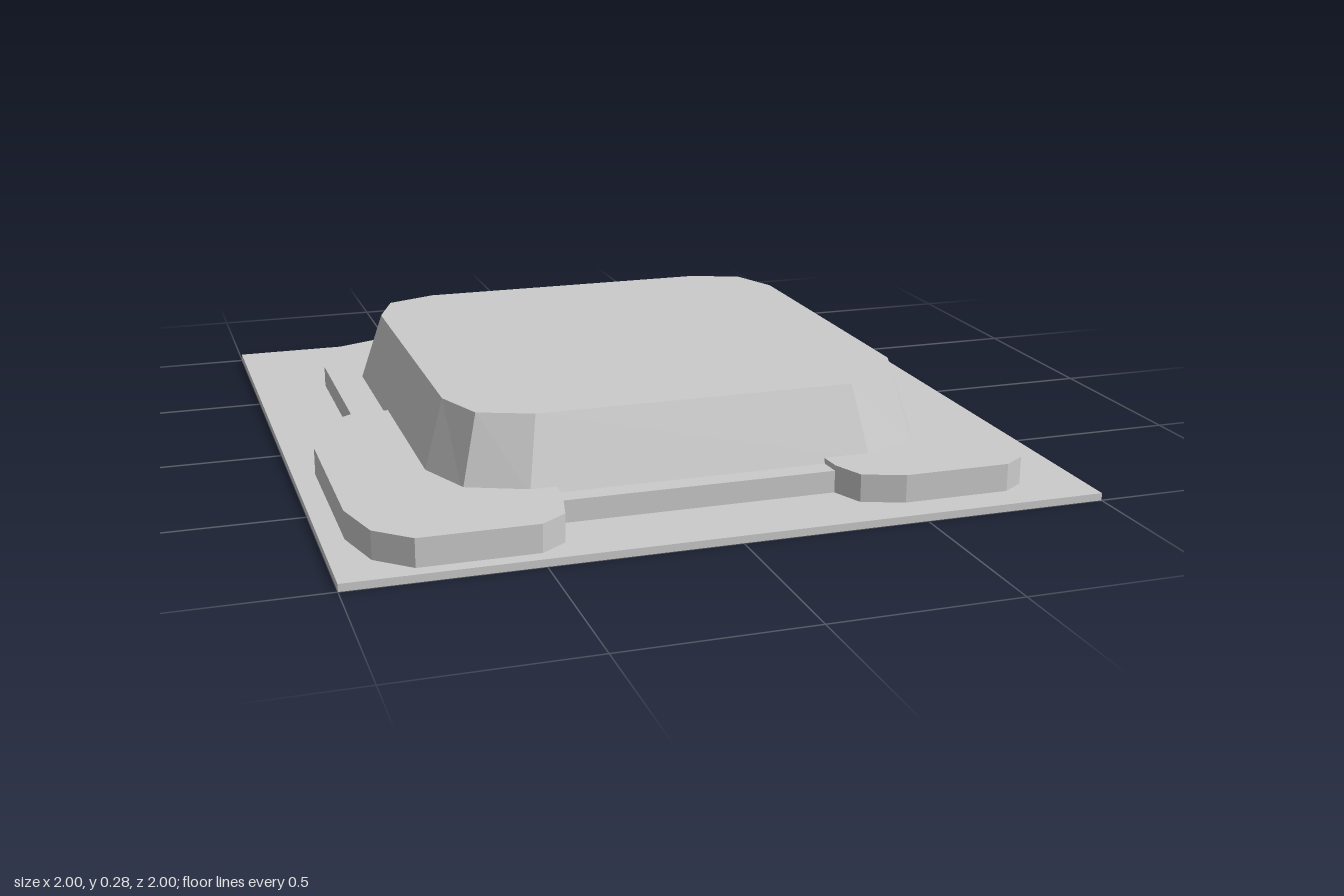
import * as THREE from 'three';

const material = new THREE.MeshStandardMaterial({ color: 0xcccccc, flatShading: true });

function add(group, name, geometry) {
  const mesh = new THREE.Mesh(geometry, material);
  mesh.name = name;
  group.add(mesh);
  return mesh;
}

// Flat plate from an [x, z] outline, between heights y0 and y1
function plate(outline, y0, y1) {
  const shape = new THREE.Shape(outline.map(([x, z]) => new THREE.Vector2(x, -z)));
  return new THREE.ExtrudeGeometry(shape, { depth: y1 - y0, bevelEnabled: false })
    .rotateX(-Math.PI / 2).translate(0, y0, 0);
}

// Rectangle with two-facet corners, as a loop of points at height y
function ring(w, d, c, k, y) {
  const points = [];
  for (const [sx, sz] of [[1, 1], [-1, 1], [-1, -1], [1, -1]]) {
    const corner = [[w, d - c], [w - k, d - k], [w - c, d]];
    if (sx * sz < 0) corner.reverse();
    for (const [x, z] of corner) points.push([sx * x - 0.005, y, sz * z + 0.033]);
  }
  return points;
}

// Tapered block between two loops, closed at both ends
function loft(low, high) {
  const positions = [];
  const tri = (a, b, c) => positions.push(...a, ...b, ...c);
  const n = low.length;
  for (let i = 0; i < n; i++) {
    const j = (i + 1) % n;
    tri(low[i], high[i], high[j]);
    tri(low[i], high[j], low[j]);
    if (i > 0 && j > 0) {
      tri(high[0], high[j], high[i]);
      tri(low[0], low[i], low[j]);
    }
  }
  const geometry = new THREE.BufferGeometry();
  geometry.setAttribute('position', new THREE.Float32BufferAttribute(positions, 3));
  geometry.computeVertexNormals();
  return geometry;
}

export function createModel() {
  const group = new THREE.Group();
  group.name = 'hatchPlatform';

  // Thin square ground plate
  add(group, 'basePlate', new THREE.BoxGeometry(2, 0.02, 2).translate(0, 0.01, 0));

  // Irregular low step with lobes at the back corners
  add(group, 'lowerStep', plate([
    [-0.79, -0.57], [-0.7, -0.79], [-0.48, -0.88], [-0.27, -0.88], [-0.13, -0.67],
    [0.18, -0.67], [0.37, -0.785], [0.48, -0.785], [0.69, -0.7], [0.78, -0.49],
    [0.78, 0.6], [0.6, 0.785], [-0.6, 0.785], [-0.79, 0.6],
  ], 0.02, 0.08));

  // Slightly taller pads at the front corners
  add(group, 'rightFrontPad', plate([
    [-0.6, -0.03], [-0.79, -0.03], [-0.9, 0.05], [-0.94, 0.24], [-0.94, 0.73],
    [-0.9, 0.88], [-0.81, 0.96], [-0.5, 0.96], [-0.43, 0.91], [-0.4, 0.78], [-0.4, 0.6],
  ], 0.02, 0.095));
  add(group, 'leftFrontPad', plate([
    [0.6, 0.37], [0.77, 0.37], [0.84, 0.4], [0.87, 0.49], [0.87, 0.77],
    [0.83, 0.87], [0.77, 0.91], [0.48, 0.91], [0.37, 0.87], [0.335, 0.785], [0.325, 0.6],
  ], 0.02, 0.095));

  // Tapered main body with faceted corners
  add(group, 'mainBody', loft(
    ring(0.69, 0.693, 0.225, 0.066, 0.08),
    ring(0.63, 0.635, 0.197, 0.055, 0.275),
  ));

  // Ledge bar on the back slope, chamfered along its outer top edge
  const profile = new THREE.Shape([
    [0.59, 0.21], [0.665, 0.21], [0.672, 0.22], [0.655, 0.24], [0.59, 0.24],
  ].map(([x, y]) => new THREE.Vector2(x, y)));
  const bar = new THREE.ExtrudeGeometry(profile, { depth: 0.53, bevelEnabled: false });
  add(group, 'backLedge', bar.rotateY(Math.PI / 2).translate(-0.44, 0, 0));

  return group;
}
